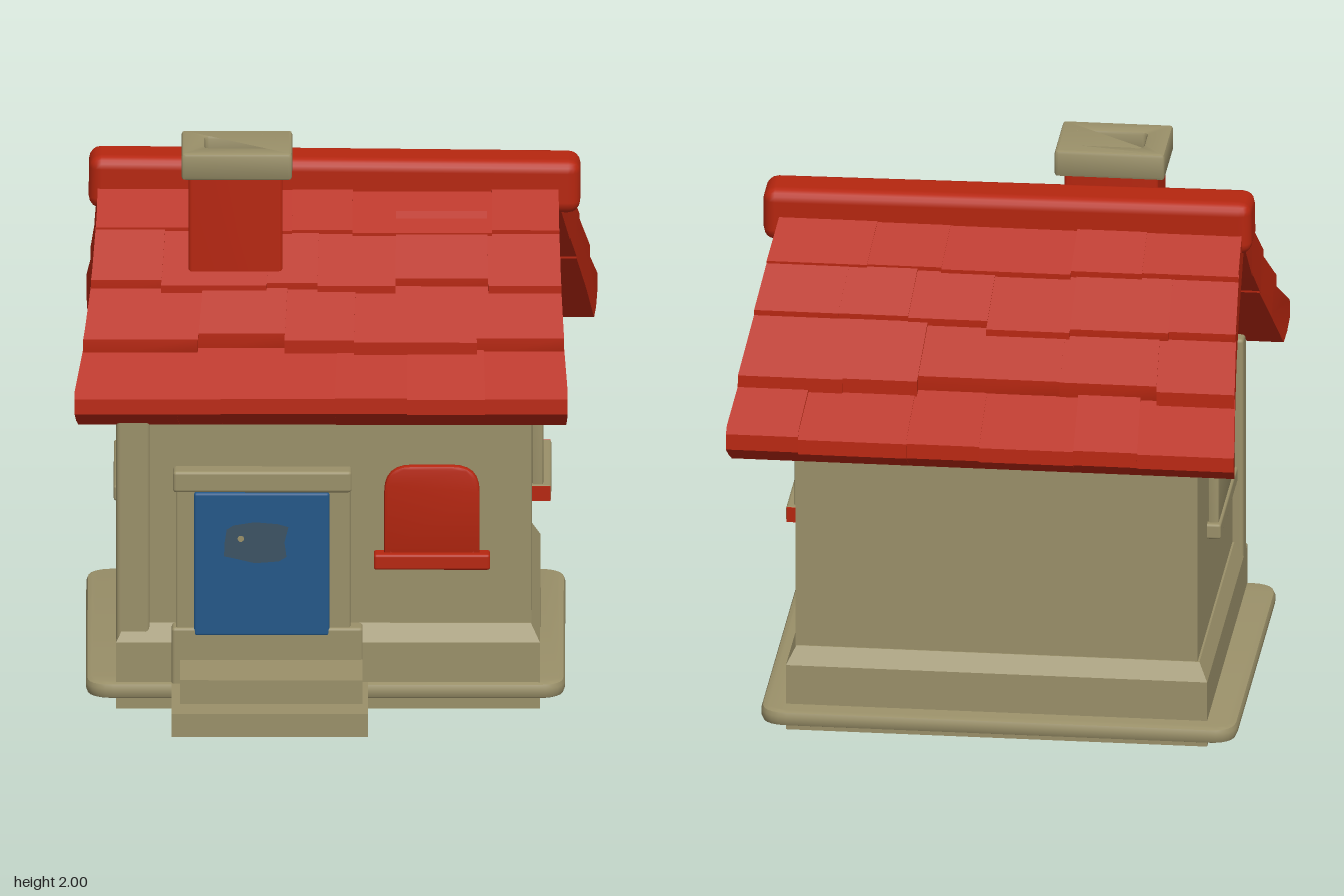
import * as THREE from 'three';
import { toCreasedNormals } from 'three/addons/utils/BufferGeometryUtils.js';
import { RoundedBoxGeometry } from 'three/addons/geometries/RoundedBoxGeometry.js';

const mat = (name, color) => {
  const m = new THREE.MeshStandardMaterial({ color });
  m.name = name;
  return m;
};
const STONE = mat('stone', 0x9a9069);
const RED = mat('red', 0xb6260f);
const BLUE = mat('blue', 0x235788);
const GLASS = mat('glass', 0x31525f);
const SLATE = mat('slate', 0x3b5263);

const lerp = THREE.MathUtils.lerp;
let seed = 7;
const rnd = () => (seed = (seed * 16807) % 2147483647) / 2147483647;

function add(parent, name, geo, material, x = 0, y = 0, z = 0) {
  const m = new THREE.Mesh(geo, material);
  m.name = name;
  m.position.set(x, y, z);
  parent.add(m);
  return m;
}

// Box from its limits, with optional rounded edges
function box(parent, name, material, x0, x1, y0, y1, z0, z1, r = 0) {
  const s = [x1 - x0, y1 - y0, z1 - z0];
  const geo = r ? new RoundedBoxGeometry(...s, 2, r) : new THREE.BoxGeometry(...s);
  return add(parent, name, geo, material, (x0 + x1) / 2, (y0 + y1) / 2, (z0 + z1) / 2);
}

const polygon = (pts) => new THREE.Shape(pts.map((p) => new THREE.Vector2(...p)));

// Rectangle with separate radii for its lower and upper corners
function rounded(x0, x1, y0, y1, rb, rt) {
  const s = new THREE.Shape();
  s.moveTo(x0 + rb, y0).lineTo(x1 - rb, y0).quadraticCurveTo(x1, y0, x1, y0 + rb);
  s.lineTo(x1, y1 - rt).quadraticCurveTo(x1, y1, x1 - rt, y1);
  s.lineTo(x0 + rt, y1).quadraticCurveTo(x0, y1, x0, y1 - rt);
  s.lineTo(x0, y0 + rb).quadraticCurveTo(x0, y0, x0 + rb, y0);
  return s;
}

const extrude = (shape, depth, bevel = 0) =>
  toCreasedNormals(new THREE.ExtrudeGeometry(shape, {
    depth, bevelEnabled: bevel > 0, bevelSize: bevel, bevelThickness: bevel,
    bevelOffset: -bevel, bevelSegments: 2, curveSegments: 6,
  }), 0.6);

// Irregular flat patch
function blob(parent, name, material, x, y, z, w, h) {
  const pts = [];
  for (let i = 0; i < 12; i++) {
    const a = (i / 12) * Math.PI * 2, k = 0.85 + rnd() * 0.25;
    const sq = (v) => Math.sign(v) * Math.sqrt(Math.abs(v));
    pts.push([sq(Math.cos(a)) * k * w / 2, sq(Math.sin(a)) * k * h / 2]);
  }
  return add(parent, name, new THREE.ShapeGeometry(polygon(pts)), material, x, y, z);
}

// Window on a local wall at z = 0, with its sill top at y = 0
function makeWindow(name, o) {
  const g = new THREE.Group();
  g.name = name;
  const ring = rounded(-o.w / 2, o.w / 2, 0, o.h, 0, o.arch);
  ring.holes.push(rounded(-o.gw / 2, o.gw / 2, 0.002, o.gh, 0, o.arch * 0.75));
  add(g, 'windowFrame', extrude(ring, o.depth - 0.02, 0.01), o.frame, 0, 0, 0.01);
  add(g, 'windowGlass', new THREE.ShapeGeometry(rounded(-o.gw / 2, o.gw / 2, 0, o.gh, 0, o.arch * 0.75)), GLASS, 0, 0, 0.006);
  for (const [x, y, w, h, m] of o.patches) blob(g, 'panePatch', m, x, y, 0.009, w, h);
  for (const x of o.vBars) box(g, 'windowBar', SLATE, x - 0.007, x + 0.007, 0, o.gh - 0.01, 0.006, 0.02);
  for (const y of o.hBars) box(g, 'windowBar', SLATE, -o.gw / 2, o.gw / 2, y - 0.007, y + 0.007, 0.006, 0.019);
  box(g, 'windowSill', o.frame, -o.sill / 2, o.sill / 2, -0.055, 0.004, -0.01, o.sillDepth, 0.01);
  return g;
}

const RIDGE = -0.17;

// One side of the roof: four courses of uneven tiles, dir 1 = front, -1 = back
function roofSide(dir) {
  const g = new THREE.Group();
  g.name = dir > 0 ? 'frontRoof' : 'backRoof';
  // Each course: distance from ridge and height of upper top, lower top, lower bottom, upper bottom
  const courses = [
    [[0.0, 1.83], [0.235, 1.665], [0.215, 1.49], [0.0, 1.70]],
    [[0.17, 1.70], [0.40, 1.52], [0.37, 1.36], [0.17, 1.54]],
    [[0.34, 1.54], [0.57, 1.36], [0.53, 1.20], [0.34, 1.38]],
    [[0.50, 1.36], [0.75, 1.18], [0.66, 1.06], [0.50, 1.23]],
  ];
  courses.forEach(([ut, lt, lb, ub], row) => {
    const n = 5 + (row % 2);
    const cuts = [0];
    for (let i = 1; i < n; i++) cuts.push((i + (rnd() - 0.5) * 0.55) / n);
    cuts.push(1);
    for (let i = 0; i < n; i++) {
      const lift = rnd() * 0.02, slip = row < 3 ? rnd() * 0.03 - 0.01 : rnd() * 0.008 - 0.004;
      const mix = (p, q, k) => [lerp(p[0], q[0], k), lerp(p[1], q[1], k)];
      const low = [lt[0] + slip, lt[1] - slip * 0.8 + lift * 0.4];
      const nose = [low[0] + 0.004, lerp(low[1], lb[1], 0.45)];
      const up = [ut[0], ut[1] + lift];
      const pts = [up, mix(up, low, 0.88), low, nose, mix(nose, lb, 0.6), lb, ub]
        .map(([d, y]) => [RIDGE + dir * d, y]);
      const geo = new THREE.ExtrudeGeometry(polygon(pts), { depth: 1, bevelEnabled: false });
      geo.rotateY(-Math.PI / 2);
      // Spread along the ridge, flaring towards the eaves
      const p = geo.attributes.position;
      for (let k = 0; k < p.count; k++) {
        const t = Math.min(1, Math.abs(p.getZ(k) - RIDGE) / 0.72);
        const xr = 0.795 + (dir > 0 ? 0.035 * t * t : 0.14 * t);
        const xl = -0.865 - (dir > 0 ? 0.085 : 0.045) * t * t;
        p.setX(k, lerp(xr, xl, lerp(cuts[i], cuts[i + 1], -p.getX(k))));
      }
      add(g, 'roofTile', toCreasedNormals(geo, 0.6), RED);
    }
  });
  return g;
}

export function createModel() {
  const house = new THREE.Group();
  house.name = 'cottage';

  // Base: foot, rounded slab, plinth with sloping top
  box(house, 'foot', STONE, -0.8, 0.73, 0, 0.06, -0.8, 0.53);
  const slab = extrude(rounded(-0.91, 0.82, -0.55, 0.88, 0.1, 0.1), 0.02, 0.02);
  slab.rotateX(-Math.PI / 2);
  add(house, 'baseSlab', slab, STONE, 0, 0.06, 0);
  box(house, 'plinth', STONE, -0.8, 0.73, 0.09, 0.25, -0.8, 0.53);
  const slope = new THREE.BoxGeometry(1.53, 0.06, 1.33);
  const sp = slope.attributes.position;
  for (let i = 0; i < sp.count; i++) {
    if (sp.getY(i) > 0) sp.setXYZ(i, sp.getX(i) * 0.957, sp.getY(i), sp.getZ(i) * 0.93);
  }
  slope.computeVertexNormals();
  add(house, 'plinthSlope', slope, STONE, -0.035, 0.28, -0.135);

  // Walls with gables
  const walls = extrude(polygon([[0.48, 0.2], [0.48, 1.11], [0.3, 1.29], [RIDGE, 1.74],
    [-0.64, 1.29], [-0.75, 1.17], [-0.75, 0.2]]), 1.46);
  walls.rotateY(-Math.PI / 2);
  add(house, 'walls', walls, STONE, 0.7, 0, 0);
  box(house, 'cornerPost', STONE, -0.8, -0.68, 0.2, 1.1, 0.4, 0.505, 0.015);

  // Roof and ridge
  house.add(roofSide(1), roofSide(-1));
  const ridge = box(house, 'ridgeBeam', RED, -0.9, 0.875, 1.685, 1.885, -0.265, -0.075, 0.045);
  ridge.rotation.z = -0.01;

  // Chimney: hollow shaft, floor and cap
  const tube = (x0, x1, z0, z1, h, bevel) => {
    const s = rounded(x0, x1, -z1, -z0, 0.015, 0.015);
    s.holes.push(rounded(-0.48, -0.24, -0.14, 0, 0.02, 0.02));
    return extrude(s, h - 2 * bevel, bevel).rotateX(-Math.PI / 2).translate(0, bevel, 0);
  };
  add(house, 'chimneyShaft', tube(-0.54, -0.2, -0.06, 0.2, 0.42, 0), RED, 0, 1.49, 0);
  box(house, 'chimneyFloor', RED, -0.5, -0.22, 1.7, 1.76, -0.02, 0.16);
  add(house, 'chimneyCap', tube(-0.565, -0.165, -0.075, 0.225, 0.1, 0.012), STONE, 0, 1.9, 0);

  // Doorstep and stairs
  box(house, 'doorstep', STONE, -0.6, 0.09, 0.09, 0.31, 0.4, 0.55, 0.012);
  box(house, 'upperStep', STONE, -0.57, 0.09, 0.09, 0.19, 0.5, 0.8);
  box(house, 'lowerStep', STONE, -0.6, 0.11, 0.012, 0.1, 0.5, 0.92);

  // Door with frame
  box(house, 'door', BLUE, -0.52, -0.03, 0.28, 0.82, 0.45, 0.552, 0.01);
  for (const [x0, x1] of [[-0.585, -0.515], [-0.035, 0.045]])
    box(house, 'doorJamb', STONE, x0, x1, 0.3, 0.84, 0.45, 0.54, 0.008);
  box(house, 'doorLintel', STONE, -0.595, 0.05, 0.82, 0.9, 0.45, 0.55, 0.012);
  blob(house, 'doorPatch', SLATE, -0.3, 0.635, 0.555, 0.24, 0.15);
  add(house, 'doorSpot', new THREE.CircleGeometry(0.012, 10), STONE, -0.35, 0.65, 0.558);

  // Front window
  const front = makeWindow('frontWindow', {
    w: 0.345, h: 0.33, gw: 0.28, gh: 0.295, arch: 0.1, depth: 0.035, frame: RED,
    sill: 0.42, sillDepth: 0.06, vBars: [0.01], hBars: [0.13],
    patches: [[-0.065, 0.195, 0.1, 0.1, STONE], [0.07, 0.19, 0.08, 0.1, STONE],
      [0.07, 0.085, 0.09, 0.06, STONE], [-0.06, 0.09, 0.1, 0.06, STONE],
      [-0.085, 0.03, 0.09, 0.04, BLUE], [0.08, 0.03, 0.1, 0.04, BLUE]],
  });
  front.position.set(0.34, 0.58, 0.48);
  house.add(front);

  // Gable windows on both ends
  for (const side of [1, -1]) {
    const w = makeWindow(side > 0 ? 'leftWindow' : 'rightWindow', {
      w: 0.53, h: 0.395, gw: 0.42, gh: 0.335, arch: 0.12, depth: 0.042, frame: STONE,
      sill: 0.57, sillDepth: side > 0 ? 0.07 : 0.05, vBars: [-0.1, 0.01, 0.12], hBars: [0.09, 0.2],
      patches: side > 0 ? [[-0.01, 0.16, 0.27, 0.17, STONE], [-0.11, 0.05, 0.1, 0.04, STONE],
        [0.08, 0.05, 0.11, 0.04, STONE]] : [[0, 0.16, 0.16, 0.1, STONE]],
    });
    w.position.set(side > 0 ? 0.7 : -0.76, 0.715, -0.155);
    w.rotation.y = side * Math.PI / 2;
    house.add(w);
    if (side > 0) for (const e of [-1, 1])
      box(w, 'sillEnd', RED, e * 0.285 - 0.004, e * 0.285 + 0.004, -0.053, 0.002, 0, 0.067);
  }

  // Small red chips on the gable wall
  for (const [z, y, w, h] of [[0.06, 0.405, 0.045, 0.03], [-0.01, 0.425, 0.065, 0.045],
    [-0.215, 0.42, 0.045, 0.045], [-0.31, 0.415, 0.02, 0.02]])
    blob(house, 'wallChip', RED, 0.704, y, z, w, h).rotation.y = Math.PI / 2;

  return house;
}
